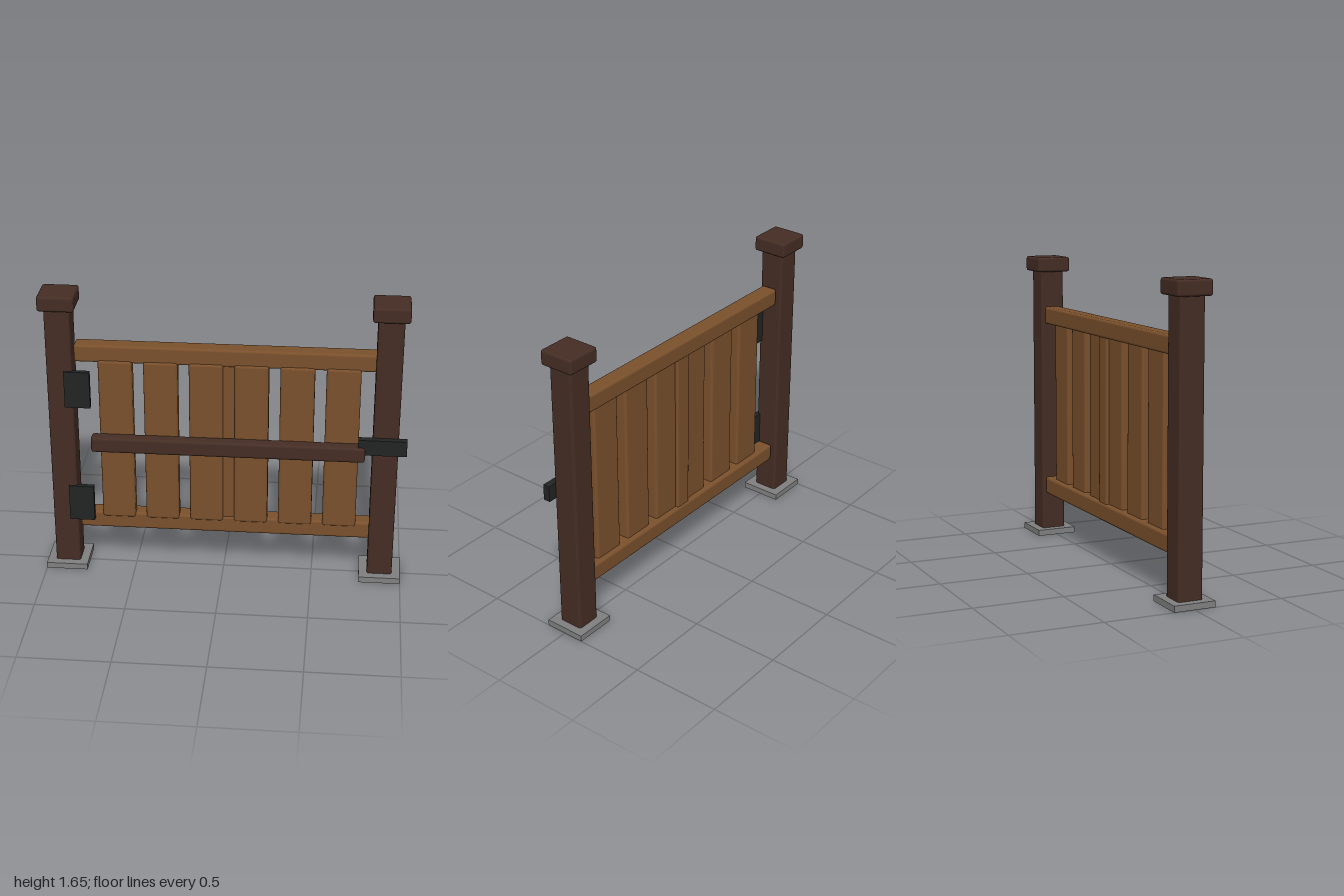
import * as THREE from 'three';
import { RoundedBoxGeometry } from 'three/addons/geometries/RoundedBoxGeometry.js';

const material = (name, color) => {
  const m = new THREE.MeshStandardMaterial({ color });
  m.name = name;
  return m;
};

export function createModel() {
  const gate = new THREE.Group();
  gate.name = 'gate';
  const darkWood = material('darkWood', 0x442d24);
  const wood = material('wood', 0x7a502c);
  const iron = material('iron', 0x222424);
  const stone = material('stone', 0x808080);

  // Box given by its extents on each axis; a radius rounds its edges
  const block = (name, mat, [x0, x1], [y0, y1], [z0, z1], radius = 0) => {
    const size = [x1 - x0, y1 - y0, z1 - z0];
    const geometry = radius
      ? new RoundedBoxGeometry(...size, 2, radius)
      : new THREE.BoxGeometry(...size);
    const mesh = new THREE.Mesh(geometry, mat);
    mesh.name = name;
    mesh.position.set((x0 + x1) / 2, (y0 + y1) / 2, (z0 + z1) / 2);
    gate.add(mesh);
  };
  const around = (center, width) => [center - width / 2, center + width / 2];

  // Posts with caps and footings
  for (const [side, x] of [['right', -0.884], ['left', 0.884]]) {
    block(side + 'Footing', stone, around(x, 0.232), [0, 0.034], around(0, 0.232));
    block(side + 'Post', darkWood, around(x, 0.14), [0.004, 1.58], around(0, 0.14), 0.015);
    block(side + 'PostCap', darkWood, around(x, 0.198), [1.57, 1.655], around(0, 0.198), 0.014);
  }

  // Gate frame: two rails and a centre stile
  block('bottomRail', wood, [-0.805, 0.83], [0.245, 0.345], around(0, 0.094), 0.015);
  block('topRail', wood, [-0.805, 0.83], [1.265, 1.365], around(0, 0.094), 0.015);
  block('centreStile', wood, around(0.031, 0.1), [0.29, 1.32], around(0, 0.076), 0.012);

  // Upright planks
  for (let i = 0; i < 6; i++) {
    block('plank' + (i + 1), wood, around(0.031 + (i - 2.5) * 0.246, 0.185),
      [0.32, 1.28], [-0.02, 0.056], 0.015);
  }

  // Locking bar, hinges and latch
  block('crossBar', darkWood, [-0.72, 0.775], [0.755, 0.845], [0.045, 0.117], 0.016);
  block('upperHinge', iron, [-0.86, -0.72], [1.005, 1.217], [0.05, 0.078]);
  block('lowerHinge', iron, [-0.86, -0.72], [0.306, 0.518], [0.05, 0.078]);
  block('latch', iron, [0.736, 0.999], [0.8, 0.89], [0.066, 0.105]);

  return gate;
}
